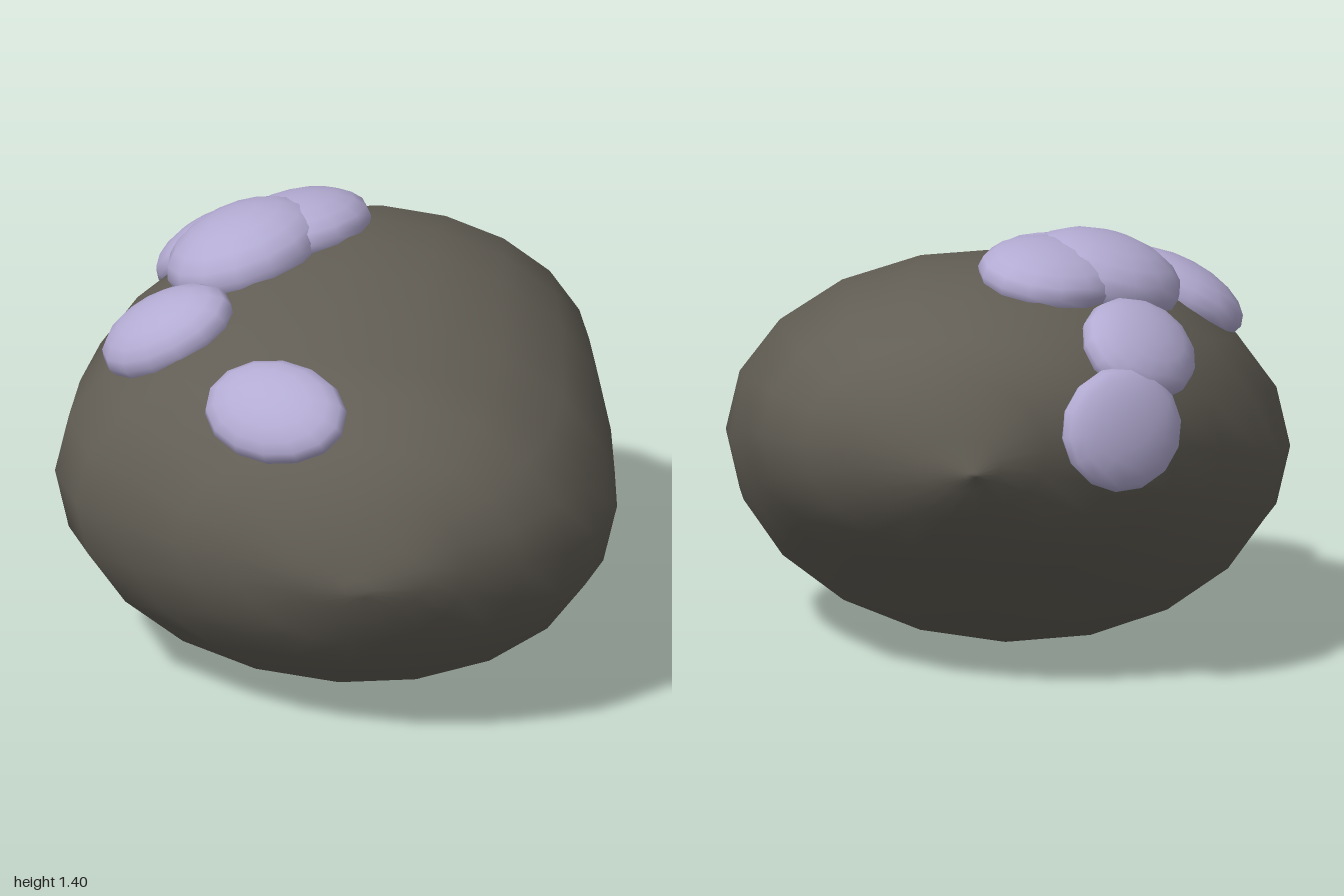
import * as THREE from 'three';

// Boulder cross-sections from front to back: z, left x, right x, bottom y, top y
const SECTIONS = [
  [0.997, 0.15, 0.25, 0.57, 0.63],
  [0.97, -0.05, 0.42, 0.51, 0.76],
  [0.90, -0.23, 0.53, 0.37, 0.92],
  [0.80, -0.42, 0.69, 0.25, 1.01],
  [0.63, -0.63, 0.82, 0.12, 1.13],
  [0.47, -0.80, 0.88, 0.05, 1.17],
  [0.23, -0.905, 0.905, 0, 1.23],
  [0, -0.905, 0.86, 0, 1.27],
  [-0.20, -0.87, 0.815, 0.09, 1.295],
  [-0.40, -0.77, 0.75, 0.21, 1.285],
  [-0.60, -0.66, 0.68, 0.33, 1.245],
  [-0.78, -0.49, 0.52, 0.45, 1.16],
  [-0.91, -0.28, 0.36, 0.60, 1.07],
  [-0.97, -0.14, 0.13, 0.71, 0.88],
  [-1, -0.07, -0.03, 0.76, 0.78],
];
const SIDES = 20;

function sectionPoint([z, left, right, bottom, top], angle) {
  return new THREE.Vector3(
    (left + right) / 2 + (right - left) / 2 * Math.cos(angle),
    (bottom + top) / 2 + (top - bottom) / 2 * Math.sin(angle), z);
}

// Point on the boulder at any depth and angle
function surfacePoint(z, angle) {
  let i = 0;
  while (i < SECTIONS.length - 2 && SECTIONS[i + 1][0] > z) i++;
  const a = SECTIONS[i], b = SECTIONS[i + 1];
  const t = (z - a[0]) / (b[0] - a[0]);
  return sectionPoint(a.map((v, k) => v + (b[k] - v) * t), angle);
}

function boulderGeometry() {
  const positions = [], index = [];
  for (const s of SECTIONS) {
    for (let j = 0; j < SIDES; j++) positions.push(...sectionPoint(s, j / SIDES * Math.PI * 2).toArray());
  }
  for (let i = 0; i < SECTIONS.length - 1; i++) {
    for (let j = 0; j < SIDES; j++) {
      const k = (j + 1) % SIDES;
      const a = i * SIDES + j, b = i * SIDES + k, c = a + SIDES, d = b + SIDES;
      index.push(a, c, b, b, c, d);
    }
  }
  // end caps
  const last = (SECTIONS.length - 1) * SIDES;
  for (let j = 1; j < SIDES - 1; j++) {
    index.push(0, j, j + 1, last, last + j + 1, last + j);
  }
  const g = new THREE.BufferGeometry();
  g.setAttribute('position', new THREE.Float32BufferAttribute(positions, 3));
  g.setIndex(index);
  g.computeVertexNormals();
  return g;
}

// Flattened growth lying on the boulder; its long axis follows (dirX, dirZ) along the surface
function growth(name, material, { z, angle, long, wide, height, dir }) {
  const a = THREE.MathUtils.degToRad(angle), e = 0.1;
  const around = surfacePoint(z, a + e).sub(surfacePoint(z, a - e));
  const along = surfacePoint(z + e, a).sub(surfacePoint(z - e, a));
  const normal = along.cross(around).normalize();
  if (normal.dot(new THREE.Vector3(Math.cos(a), Math.sin(a), 0)) < 0) normal.negate();
  const u = new THREE.Vector3(...dir).projectOnPlane(normal).normalize();
  const w = new THREE.Vector3().crossVectors(u, normal);
  const mesh = new THREE.Mesh(new THREE.SphereGeometry(1, 14, 10), material);
  mesh.name = name;
  mesh.quaternion.setFromRotationMatrix(new THREE.Matrix4().makeBasis(u, normal, w));
  mesh.scale.set(long, height, wide);
  mesh.position.copy(surfacePoint(z, a));
  return mesh;
}

export function createModel() {
  const stone = new THREE.MeshStandardMaterial({ color: 0x625e55 });
  stone.name = 'stone';
  const lilac = new THREE.MeshStandardMaterial({ color: 0xb3abd2 });
  lilac.name = 'lilac';

  const model = new THREE.Group();
  model.name = 'boulderWithGrowths';
  const boulder = new THREE.Mesh(boulderGeometry(), stone);
  boulder.name = 'boulder';
  model.add(boulder);

  const growths = {
    topGrowthBack: { z: -0.32, angle: 104, long: 0.25, wide: 0.22, height: 0.11, dir: [0.3, 0, -0.5] },
    topGrowthFront: { z: -0.17, angle: 113, long: 0.27, wide: 0.24, height: 0.14, dir: [0.4, 0, -0.4] },
    sideGrowth: { z: 0.21, angle: 127, long: 0.23, wide: 0.18, height: 0.11, dir: [1, 0.6, 0] },
    frontGrowth: { z: 0.69, angle: 110, long: 0.25, wide: 0.18, height: 0.1, dir: [0.45, 0, 0.22] },
    rearGrowth: { z: -0.54, angle: 139, long: 0.22, wide: 0.19, height: 0.1, dir: [0.2, 0, -0.4] },
    lowRearGrowth: { z: -0.76, angle: 168, long: 0.22, wide: 0.2, height: 0.08, dir: [0.3, 0, -0.3] },
  };
  for (const [name, spec] of Object.entries(growths)) model.add(growth(name, lilac, spec));
  return model;
}
